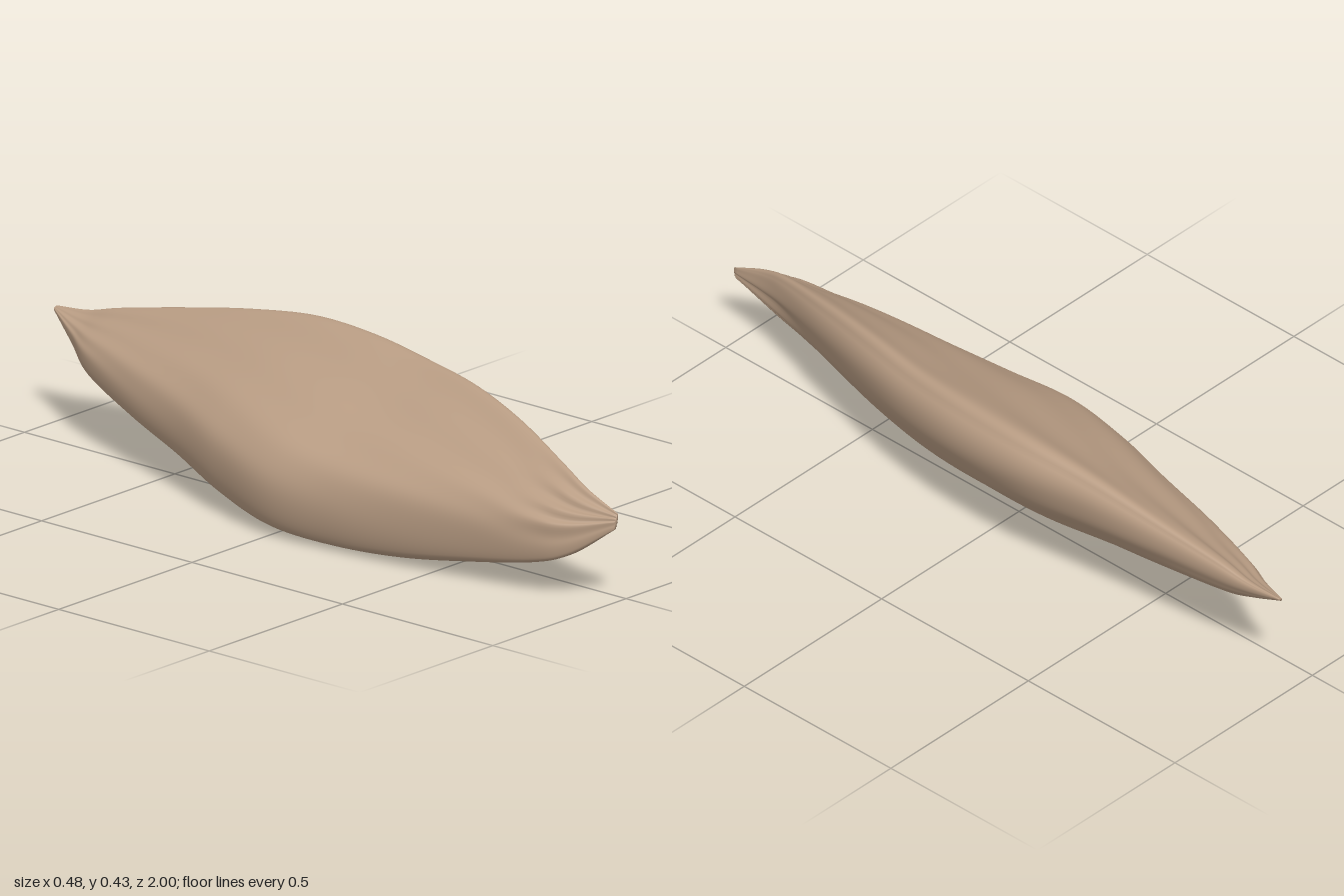
import * as THREE from 'three';

// Husk outline by station: z, xMin, xMax, yMin, yMax
const STATIONS = [
  [1.0, -0.045, -0.03, 0.19, 0.23],
  [0.9, -0.115, -0.02, 0.115, 0.272],
  [0.8, -0.148, 0.01, 0.08, 0.31],
  [0.6, -0.178, 0.085, 0.042, 0.365],
  [0.4, -0.205, 0.15, 0.012, 0.4],
  [0.2, -0.228, 0.2, 0.0, 0.415],
  [0.0, -0.24, 0.232, 0.008, 0.43],
  [-0.2, -0.195, 0.238, 0.04, 0.432],
  [-0.4, -0.125, 0.212, 0.085, 0.41],
  [-0.6, -0.065, 0.185, 0.13, 0.375],
  [-0.8, 0.005, 0.155, 0.183, 0.335],
  [-0.9, 0.06, 0.138, 0.235, 0.31],
  [-1.0, 0.11, 0.122, 0.292, 0.302],
];

function rail(xi, yi) {
  return new THREE.CatmullRomCurve3(
    STATIONS.map((s) => new THREE.Vector3(s[xi], s[yi], s[0])), false, 'catmullrom', 0.5);
}

// Closed skin of slanted oval sections, pinched and puckered at both ends
function huskGeometry(rows = 96, sides = 96) {
  const low = rail(1, 3), high = rail(2, 4);
  const pos = [], index = [];
  for (let i = 0; i <= rows; i++) {
    const a = low.getPoint(i / rows), b = high.getPoint(i / rows);
    const cx = (a.x + b.x) / 2, cy = (a.y + b.y) / 2;
    const rx = (b.x - a.x) / 2, ry = (b.y - a.y) / 2, z = a.z;
    const front = THREE.MathUtils.smoothstep(z, 0.65, 0.92);
    const back = THREE.MathUtils.smoothstep(-z, 0.6, 0.95);
    const size = Math.min(1, ry / 0.1);
    for (let j = 0; j < sides; j++) {
      const t = (j / sides) * Math.PI * 2;
      const u = Math.cos(t); // along the wide axis
      const v = Math.sin(t); // across the thin axis
      // the upper face is fuller toward its low edge, the belly evenly round
      const slant = 0.92 - Math.max(v, 0) * (0.1 + 0.6 * u);
      // lengthwise wrinkles and end puckers, fading at the rim
      const pucker = Math.sin(u * 13 + z * 3 + (v > 0 ? 0 : 1.3));
      const wrinkle = Math.sin(u * 9 + z * 2.5) * Math.sin(z * 6 + u * 3 + v);
      const bump = v * size * (pucker * (0.007 * front + 0.003 * back) + 0.003 * wrinkle);
      pos.push(
        cx + rx * Math.cos(t + slant / 2) - bump * 0.7,
        cy + ry * Math.cos(t - slant / 2) + bump * 0.7, z);
    }
  }
  for (let i = 0; i < rows; i++) {
    for (let j = 0; j < sides; j++) {
      const k = (j + 1) % sides;
      const a = i * sides + j, b = i * sides + k, c = a + sides, d = b + sides;
      index.push(a, c, b, b, c, d);
    }
  }
  // end caps
  const frontTip = pos.length / 3, backTip = frontTip + 1, last = rows * sides;
  pos.push(-0.0375, 0.21, 1, 0.116, 0.297, -1);
  for (let j = 0; j < sides; j++) {
    const k = (j + 1) % sides;
    index.push(frontTip, j, k, backTip, last + k, last + j);
  }
  const geo = new THREE.BufferGeometry();
  geo.setAttribute('position', new THREE.Float32BufferAttribute(pos, 3));
  geo.setIndex(index);
  geo.computeVertexNormals();
  return geo;
}

export function createModel() {
  const group = new THREE.Group();
  group.name = 'seedHusk';
  const tan = new THREE.MeshStandardMaterial({ color: 0xb89c83 });
  tan.name = 'tan husk';
  const husk = new THREE.Mesh(huskGeometry(), tan);
  husk.name = 'husk';
  group.add(husk);
  return group;
}
